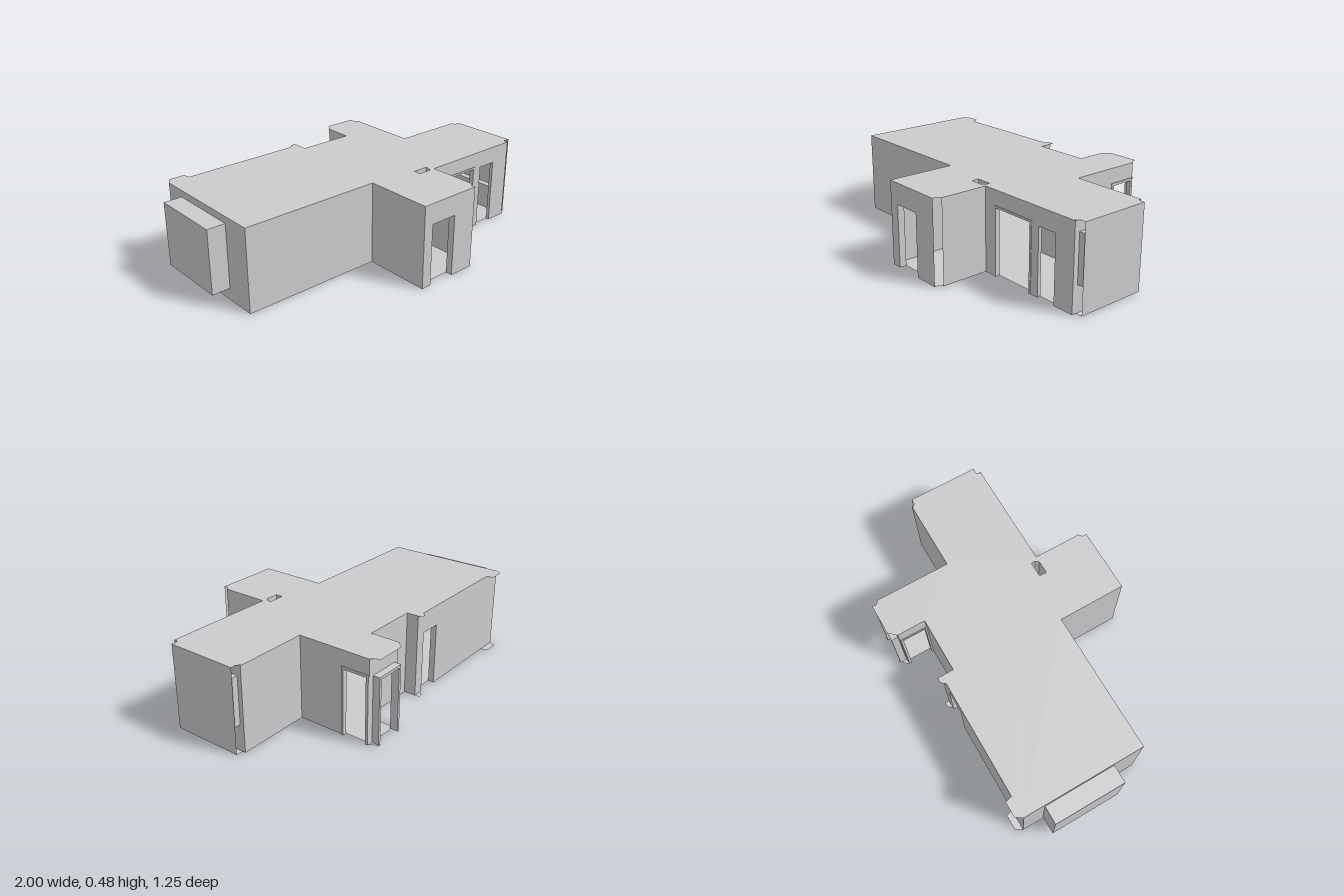
import * as THREE from 'three';
import { mergeGeometries } from 'three/addons/utils/BufferGeometryUtils.js';

const H = 0.48;
const material = new THREE.MeshStandardMaterial({ color: 0xcccccc, side: THREE.DoubleSide, flatShading: true });

// Plan of the rooms (x, z), shared by floor and ceiling
const plan = [
  [-0.895, 0.23], [-0.075, 0.23], [-0.075, 0.625], [0.30, 0.625], [0.30, 0.6], [0.32, 0.585], [0.32, 0.305],
  [0.95, 0.305], [0.965, 0.28], [1, 0.28], [1, -0.13], [0.97, -0.13], [0.95, -0.15], [0.535, -0.15],
  [0.535, -0.585], [0.515, -0.605], [0.515, -0.63], [0.335, -0.63], [0.295, -0.59], [0.295, -0.42],
  [-0.03, -0.42], [-0.03, -0.515], [-0.06, -0.515], [-0.08, -0.49], [-0.77, -0.49], [-0.78, -0.53],
  [-0.87, -0.53], [-0.895, -0.49]
];
// The floor stops short at each threshold: plan corner before the notch, its ends, and the inset (x, z)
const thresholds = [
  [2, [-0.015, 0.625], [0.15, 0.625], [0, -0.04]],
  [6, [0.402, 0.305], [0.658, 0.305], [0, -0.025]],
  [6, [0.72, 0.305], [0.835, 0.305], [0, -0.02]],
  [13, [0.535, -0.43], [0.535, -0.567], [-0.02, 0]],
  [16, [0.49, -0.63], [0.34, -0.63], [0, 0.045]],
  [18, [0.295, -0.567], [0.295, -0.43], [0.02, 0]],
  [23, [-0.092, -0.49], [-0.222, -0.49], [0, 0.035]]
];
const floorPlan = plan.flatMap((point, i) => [point, ...thresholds
  .filter(([corner]) => corner === i)
  .flatMap(([, a, b, [dx, dz]]) => [a, [a[0] + dx, a[1] + dz], [b[0] + dx, b[1] + dz], b])]);

const shaft = [[0.21, 0.262], [0.30, 0.262], [0.30, 0.285], [0.285, 0.305], [0.21, 0.305]];
const toVectors = (points) => points.map(([x, z]) => new THREE.Vector2(x, z));

// Upright wall from (x0, z0) to (x1, z1). Each opening is [from, to, bottom, top] along the wall.
// depth gives the openings a reveal on the wall's +normal side.
function wall(group, name, [x0, z0], [x1, z1], openings = [], depth = 0) {
  const length = Math.hypot(x1 - x0, z1 - z0);
  const parts = [];
  const panel = (a, b, y0, y1) => {
    if (b - a < 1e-4 || y1 - y0 < 1e-4) return;
    parts.push(new THREE.PlaneGeometry(b - a, y1 - y0).translate((a + b) / 2, (y0 + y1) / 2, 0));
  };
  let at = 0;
  for (const [a, b, y0, y1] of openings) {
    panel(at, a, 0, H);
    panel(a, b, 0, y0);
    panel(a, b, y1, H);
    at = b;
    if (!depth) continue;
    for (const u of [a, b]) {
      parts.push(new THREE.PlaneGeometry(Math.abs(depth), y1 - y0).rotateY(Math.PI / 2).translate(u, (y0 + y1) / 2, depth / 2));
    }
    for (const y of y0 > 0 ? [y0, y1] : [y1]) {
      parts.push(new THREE.PlaneGeometry(b - a, Math.abs(depth)).rotateX(Math.PI / 2).translate((a + b) / 2, y, depth / 2));
    }
  }
  panel(at, length, 0, H);
  const mesh = new THREE.Mesh(mergeGeometries(parts), material);
  mesh.name = name;
  mesh.position.set(x0, 0, z0);
  mesh.rotation.y = -Math.atan2(z1 - z0, x1 - x0);
  group.add(mesh);
}

function box(group, name, [x0, x1], [y0, y1], [z0, z1]) {
  const mesh = new THREE.Mesh(new THREE.BoxGeometry(x1 - x0, y1 - y0, z1 - z0), material);
  mesh.name = name;
  mesh.position.set((x0 + x1) / 2, (y0 + y1) / 2, (z0 + z1) / 2);
  group.add(mesh);
}

// Door surround: two posts and a head, along x or along z
function doorFrame(group, name, along, [a, b], top, [c, d], width = 0.015) {
  const frame = new THREE.Group();
  frame.name = name;
  const piece = (part, span, ys) => along === 'x'
    ? box(frame, part, span, ys, [c, d])
    : box(frame, part, [c, d], ys, span);
  piece('framePost', [a, a + width], [0, top]);
  piece('framePost', [b - width, b], [0, top]);
  piece('frameHead', [a + width, b - width], [top - width, top]);
  group.add(frame);
}

export function createModel() {
  const model = new THREE.Group();
  model.name = 'roomInterior';

  // Floor and ceiling with the small shaft cut through both
  for (const [name, outline, y] of [['floor', floorPlan, 0], ['ceiling', plan, H]]) {
    const shape = new THREE.Shape(toVectors(outline));
    shape.holes.push(new THREE.Path(toVectors(shaft)));
    const slab = new THREE.Mesh(new THREE.ShapeGeometry(shape).rotateX(Math.PI / 2), material);
    slab.name = name;
    slab.position.y = y;
    model.add(slab);
  }
  shaft.forEach((p, i) => wall(model, 'shaftWall', p, shaft[(i + 1) % shaft.length]));

  // Main room
  wall(model, 'mainFrontWall', [-0.895, 0.23], [-0.075, 0.23]);
  wall(model, 'mainSideWall', [-0.895, -0.49], [-0.895, 0.23], [[0.125, 0.545, 0.07, 0.44]]);
  wall(model, 'mainBackWall', [-0.895, -0.49], [-0.03, -0.49], [[0.673, 0.803, 0, 0.36]], 0.035);
  wall(model, 'backStepWall', [-0.03, -0.49], [-0.03, -0.42]);
  wall(model, 'backMiddleWall', [-0.03, -0.42], [0.295, -0.42]);

  // Deep bay window on the main room's side, open to the room
  const bay = new THREE.Group();
  bay.name = 'bayWindow';
  box(bay, 'bayPane', [-1, -0.99], [0.07, 0.44], [-0.365, 0.055]);
  for (const y of [0.07, 0.43]) box(bay, 'bayShelf', [-0.99, -0.895], [y, y + 0.01], [-0.365, 0.055]);
  for (const z of [-0.365, 0.045]) box(bay, 'bayCheek', [-0.99, -0.895], [0.08, 0.43], [z, z + 0.01]);
  model.add(bay);

  // Front room with its doorway
  wall(model, 'frontRoomSideWall', [-0.075, 0.23], [-0.075, 0.625]);
  wall(model, 'frontRoomFrontWall', [-0.075, 0.625], [0.30, 0.625], [[0.06, 0.225, 0, 0.36]], -0.04);
  wall(model, 'frontRoomInnerWall', [0.32, 0.585], [0.32, 0.305]);

  // End room with two front doorways and a shallow boxed window
  wall(model, 'endRoomFrontWall', [0.30, 0.305], [0.96, 0.305],
    [[0.095, 0.365, 0, 0.385], [0.42, 0.535, 0, 0.38]], -0.02);
  doorFrame(model, 'frontDoorFrame', 'x', [0.39, 0.67], 0.395, [0.28, 0.308], 0.012);
  wall(model, 'endRoomBackWall', [0.535, -0.15], [0.96, -0.15]);
  wall(model, 'endRoomInnerWall', [0.96, -0.15], [0.96, 0.305], [[0.025, 0.425, 0.15, 0.42]], -0.039);
  wall(model, 'endRoomOuterWall', [1, -0.13], [1, 0.28]);

  // Low partition and drawer unit inside
  box(model, 'lowPartition', [0.23, 0.67], [0, 0.16], [-0.115, -0.095]);
  for (const y of [0.02, 0.083]) box(model, 'drawer', [0.7, 0.94], [y, y + 0.057], [-0.145, -0.09]);

  // Porch at the back, open through three framed doorways
  wall(model, 'porchLongWall', [0.535, -0.15], [0.535, -0.585], [[0.27, 0.435, 0, 0.385]]);
  wall(model, 'porchShortWall', [0.295, -0.42], [0.295, -0.585], [[0, 0.165, 0, 0.385]]);
  wall(model, 'porchBackWall', [0.295, -0.585], [0.535, -0.585], [[0.035, 0.2, 0, 0.38]]);
  doorFrame(model, 'longSideFrame', 'z', [-0.582, -0.415], 0.392, [0.515, 0.54]);
  doorFrame(model, 'shortSideFrame', 'z', [-0.582, -0.415], 0.392, [0.29, 0.315]);
  doorFrame(model, 'porchBackFrame', 'x', [0.325, 0.505], 0.38, [-0.625, -0.58]);

  return model;
}
